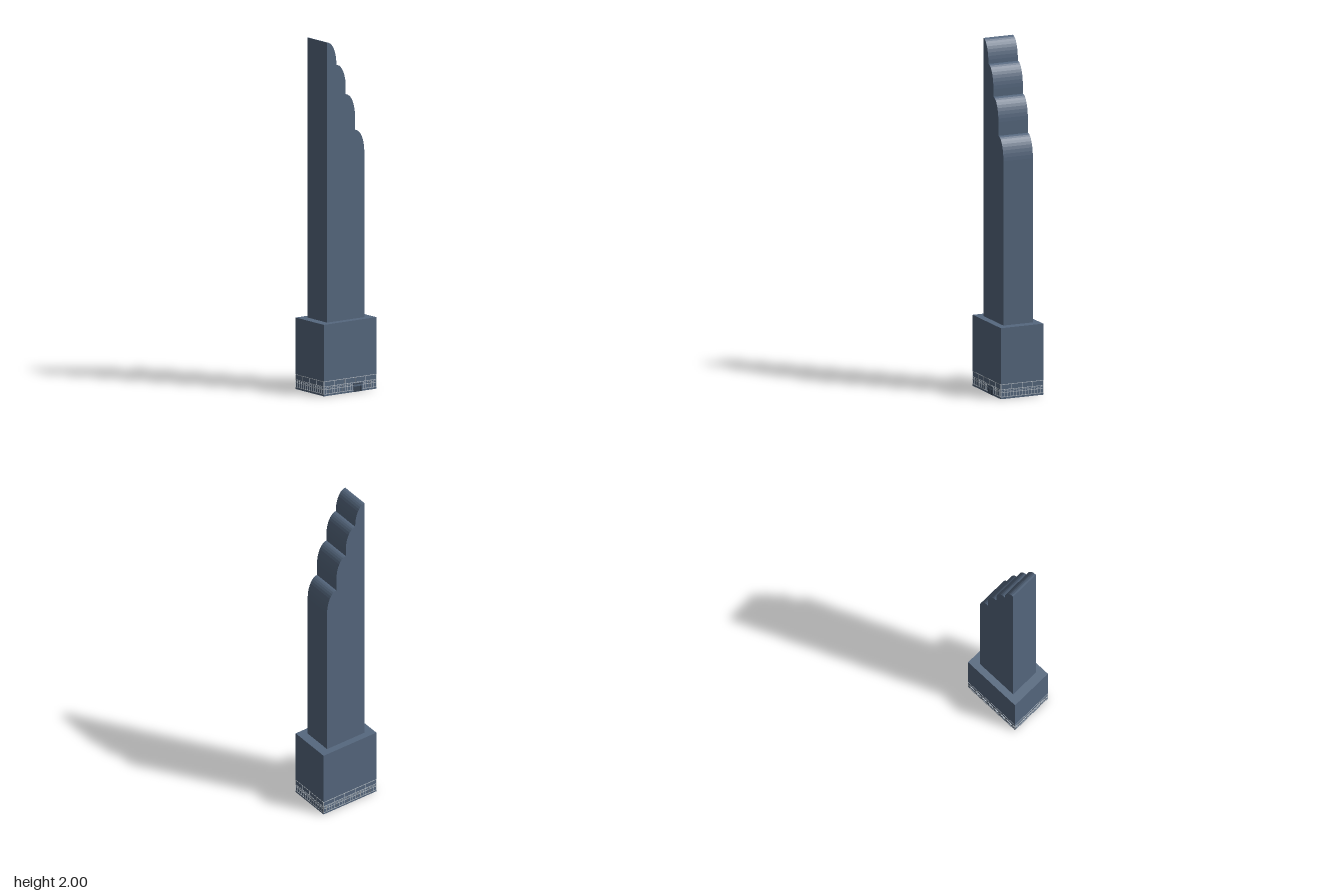
import * as THREE from 'three';

const material = (name, color, side = THREE.FrontSide) => {
  const m = new THREE.MeshStandardMaterial({ color, side });
  m.name = name;
  return m;
};

export function createModel() {
  const model = new THREE.Group();
  model.name = 'skyscraper';
  const wallBlue = material('slate blue', 0x56687f, THREE.DoubleSide);
  const frameGrey = material('pale frame grey', 0xb4bcc4);
  const doorDark = material('dark door glass', 0x3a4656);

  const add = (parent, name, geometry, mat, x = 0, y = 0, z = 0) => {
    const mesh = new THREE.Mesh(geometry, mat);
    mesh.name = name;
    mesh.position.set(x, y, z);
    parent.add(mesh);
    return mesh;
  };
  const box = (parent, name, w, h, d, mat, x, y, z) =>
    add(parent, name, new THREE.BoxGeometry(w, h, d), mat, x, y, z);

  // Podium: hollow shell, open underneath
  const W = 0.366, D = 0.262, H = 0.407;
  const shell = new THREE.BoxGeometry(W, H, D);
  const index = Array.from(shell.index.array);
  index.splice(18, 6); // drop the bottom face
  shell.setIndex(index);
  shell.clearGroups();
  add(model, 'podium', shell, wallBlue, 0, H / 2, 0);

  // Tower: four stepped bays, each with a quarter-ellipse shoulder
  const bay = 0.065, left = -0.13, base = H, shoulder = 0.132;
  const tops = [2, 1.865, 1.69, 1.48];
  const outline = new THREE.Shape();
  outline.moveTo(left, base);
  const points = [];
  tops.forEach((top, i) => {
    const x0 = left + i * bay;
    for (let k = 0; k <= 10; k++) {
      const a = (k / 10) * Math.PI / 2;
      points.push([x0 + bay * Math.sin(a), top - shoulder * (1 - Math.cos(a))]);
    }
  });
  // Reversed so the outline runs anticlockwise
  outline.lineTo(-left, base);
  points.reverse().forEach(([x, y]) => outline.lineTo(x, y));
  outline.closePath();
  const towerGeometry = new THREE.ExtrudeGeometry(outline, { depth: 0.182, bevelEnabled: false });
  add(model, 'tower', towerGeometry, wallBlue, 0, 0, -0.092);

  // Street-level facade: rails and mullions on one side, built facing +z
  const makeFacade = (length) => {
    const side = new THREE.Group();
    const t = 0.003;
    for (const y of [0.083, 0.054, 0.037, 0.012])
      box(side, 'rail', length, 0.003, t, frameGrey, 0, y, 0);
    // Wide bays above
    const wide = Math.round(length / 0.073);
    for (let i = 0; i <= wide; i++)
      box(side, 'upperMullion', 0.003, 0.03, t, frameGrey, (i / wide - 0.5) * (length - 0.003), 0.069, 0);
    // Narrow shopfront bays below
    const narrow = Math.round(length / 0.0183);
    for (let i = 0; i <= narrow; i++) {
      const x = (i / narrow - 0.5) * (length - 0.003);
      box(side, 'shopMullion', 0.0025, 0.042, t, frameGrey, x, 0.033, 0);
      if (i < narrow)
        box(side, 'shopTransom', 0.009, 0.002, t, frameGrey, x + 0.009, 0.046, 0);
    }
    return side;
  };
  const sides = [
    ['frontFacade', W, 0, D / 2],
    ['leftFacade', D, Math.PI / 2, W / 2],
    ['backFacade', W, Math.PI, D / 2],
    ['rightFacade', D, -Math.PI / 2, W / 2],
  ];
  for (const [name, length, angle, distance] of sides) {
    const facade = makeFacade(length);
    facade.name = name;
    facade.rotation.y = angle;
    facade.position.set(Math.sin(angle) * distance, 0, Math.cos(angle) * distance);
    model.add(facade);
  }

  // Entrance, set right of centre on the front
  const entrance = new THREE.Group();
  entrance.name = 'entrance';
  entrance.position.set(0.053, 0, D / 2 + 0.001);
  box(entrance, 'doorSurround', 0.064, 0.048, 0.002, wallBlue, 0, 0.024, 0.0005);
  for (let i = 0; i < 4; i++)
    box(entrance, 'door', 0.012, 0.03, 0.002, doorDark, (i - 1.5) * 0.0145, 0.016, 0.0012);
  box(entrance, 'canopy', 0.064, 0.006, 0.003, doorDark, 0, 0.045, 0.001);
  model.add(entrance);

  return model;
}
